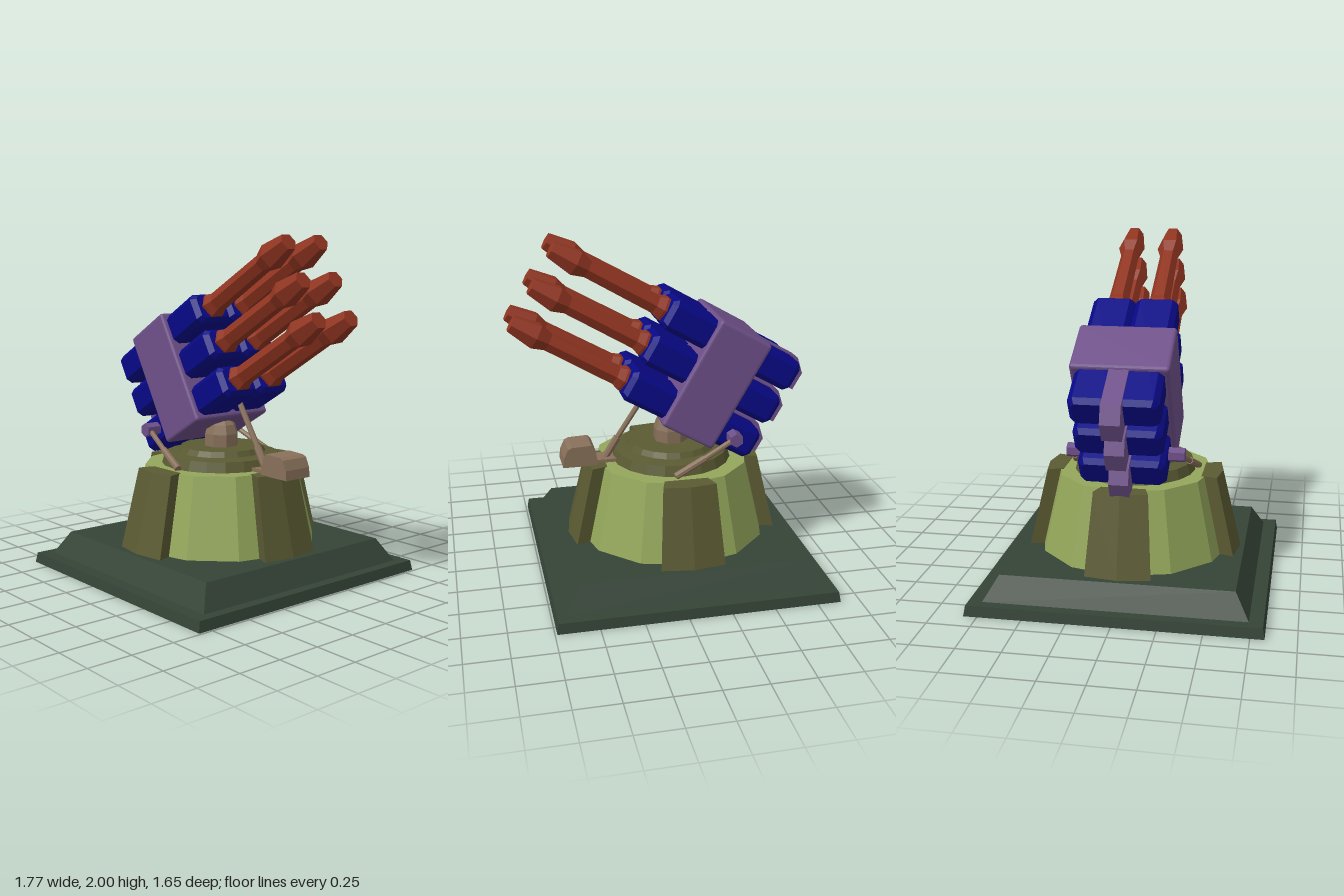
import * as THREE from 'three';
import { RoundedBoxGeometry } from 'three/addons/geometries/RoundedBoxGeometry.js';

const paint = (name, color) => {
  const m = new THREE.MeshStandardMaterial({ color, flatShading: true });
  m.name = name;
  return m;
};

export function createModel() {
  const darkGreen = paint('dark green', 0x354437);
  const lightGreen = paint('light green', 0x93a65a);
  const olive = paint('olive', 0x5a5a33);
  const brown = paint('brown', 0x88705a);
  const purple = paint('purple', 0x6e5089);
  const blue = paint('blue', 0x080886);
  const red = paint('red', 0x913521);

  const CX = -0.075; // tower axis
  const model = new THREE.Group();
  const add = (parent, name, geo, mat, x = 0, y = 0, z = 0) => {
    const mesh = new THREE.Mesh(geo, mat);
    mesh.name = name;
    mesh.position.set(x, y, z);
    parent.add(mesh);
    return mesh;
  };

  // box whose top face has its own size
  const taperedBox = (w, d, topW, topD, h) => {
    const g = new THREE.BoxGeometry(w, h, d);
    const p = g.attributes.position;
    for (let i = 0; i < p.count; i++) {
      if (p.getY(i) > 0) p.setXYZ(i, p.getX(i) * topW / w, h / 2, p.getZ(i) * topD / d);
    }
    g.computeVertexNormals();
    return g;
  };

  const toShape = (points) => new THREE.Shape(points.map(([x, y]) => new THREE.Vector2(x, y)));
  const lathe = (points, sides) => new THREE.LatheGeometry(points.map(([r, y]) => new THREE.Vector2(r, y)), sides);

  // extruded side profile, centred across z
  const slab = (points, depth) =>
    new THREE.ExtrudeGeometry(toShape(points), { depth, bevelEnabled: false }).translate(0, 0, -depth / 2);

  // rod between two points
  const rod = (parent, name, a, b, r, mat) => {
    const start = new THREE.Vector3(...a), dir = new THREE.Vector3(...b).sub(start);
    const mesh = add(parent, name, new THREE.CylinderGeometry(r, r, dir.length(), 8), mat);
    mesh.position.copy(start).addScaledVector(dir, 0.5);
    mesh.quaternion.setFromUnitVectors(new THREE.Vector3(0, 1, 0), dir.normalize());
  };

  // Foundation
  add(model, 'foundationSlab', taperedBox(1.625, 1.655, 1.605, 1.635, 0.06), darkGreen, CX, 0.03);
  add(model, 'foundationSlope', taperedBox(1.485, 1.48, 1.325, 1.32, 0.137), darkGreen, CX, 0.1265);

  // Tower with four armour panels
  add(model, 'towerCone', new THREE.CylinderGeometry(0.46, 0.57, 0.46, 12), lightGreen, CX, 0.425);
  const arc = (r, a) => [r * Math.cos(a), r * Math.sin(a)];
  const half = 0.3;
  const panelGeo = new THREE.ExtrudeGeometry(
    toShape([arc(0.52, -half), arc(0.635, -half), arc(0.635, 0), arc(0.635, half), arc(0.52, half)]),
    { depth: 0.463, bevelEnabled: false });
  panelGeo.rotateX(-Math.PI / 2);
  const pp = panelGeo.attributes.position;
  for (let i = 0; i < pp.count; i++) {
    const k = 1 - 0.175 * pp.getY(i) / 0.463;
    pp.setXYZ(i, pp.getX(i) * k, pp.getY(i), pp.getZ(i) * k);
  }
  panelGeo.computeVertexNormals();
  for (let i = 0; i < 4; i++) {
    add(model, 'towerPanel', panelGeo, olive, CX, 0.195, 0).rotation.y = i * Math.PI / 2;
  }

  // Turntable
  add(model, 'turntable', lathe([[0.36, 0.65], [0.34, 0.715], [0.265, 0.725], [0.245, 0.757], [0, 0.757]], 20), olive, CX);

  // Pivot mount with a domed head
  const mount = lathe([[0.103, 0.75], [0.103, 0.83], [0.085, 0.885], [0.045, 0.92], [0, 0.93]], 8).rotateY(Math.PI / 8);
  add(model, 'pivotMount', mount, brown, CX);

  // Motor housing on the tower rim
  add(model, 'motorHousing', slab([[0.38, 0.655], [0.59, 0.655], [0.585, 0.71], [0.56, 0.765],
    [0.535, 0.777], [0.42, 0.782], [0.4, 0.76]], 0.18), brown);
  add(model, 'motorFoot', new THREE.BoxGeometry(0.16, 0.02, 0.12), brown, 0.32, 0.666);

  // Launcher, tilted up by thirty degrees
  const launcher = new THREE.Group();
  launcher.name = 'launcher';
  launcher.position.set(-0.287, 1.16, 0);
  launcher.rotation.z = Math.PI / 6;
  model.add(launcher);
  add(launcher, 'launcherFrame', new RoundedBoxGeometry(0.35, 0.7, 0.55, 2, 0.02), purple);

  // Pod: chamfered section, tapered at both ends
  const w = 0.098, h = 0.069, c = 0.016;
  const podGeo = new THREE.ExtrudeGeometry(
    toShape([[-w, -h + c], [-w + c, -h], [w - c, -h], [w, -h + c], [w, h - c], [w - c, h], [-w + c, h], [-w, h - c]]),
    { depth: 0.82, bevelEnabled: true, bevelSegments: 1, bevelSize: 0.024, bevelThickness: 0.03 });
  podGeo.translate(0, 0, -0.39).rotateY(Math.PI / 2);

  // Barrel: collar, shaft and flared muzzle, six-sided
  const barrelGeo = lathe([[0, 0.42], [0.078, 0.42], [0.078, 0.475], [0.06, 0.52], [0.055, 0.96],
    [0.08, 1.035], [0.052, 1.19], [0, 1.19]], 6);
  barrelGeo.rotateZ(-Math.PI / 2);

  const spine = slab([[-0.15, 0.1], [-0.45, 0.1], [-0.525, 0.03], [-0.525, -0.085], [-0.15, -0.085]], 0.11);
  for (const v of [0.237, 0.008, -0.228]) {
    for (const s of [-1, 1]) {
      add(launcher, 'pod', podGeo, blue, 0, v, s * 0.123);
      add(launcher, 'barrel', barrelGeo, red, 0, v, s * 0.121);
    }
    add(launcher, 'rearSpine', spine, purple, 0, v);
  }

  // Elevation struts and their hubs
  for (const s of [-1, 1]) {
    const hub = add(model, 'strutHub', new THREE.CylinderGeometry(0.042, 0.042, 0.1, 6), purple, -0.393, 0.84, s * 0.286);
    hub.rotation.x = Math.PI / 2;
    const mid = [-0.2, 0.748, s * 0.34];
    rod(model, 'strutRod', [-0.38, 0.835, s * 0.305], mid, 0.016, brown);
    rod(model, 'strutSleeve', mid, [-0.02, 0.665, s * 0.372], 0.021, brown);
  }
  rod(model, 'frontStrutRod', [0.08, 1.05, 0], [0.25, 0.79, 0], 0.017, brown);
  rod(model, 'frontStrutSleeve', [0.25, 0.79, 0], [0.325, 0.67, 0], 0.024, brown);

  return model;
}
